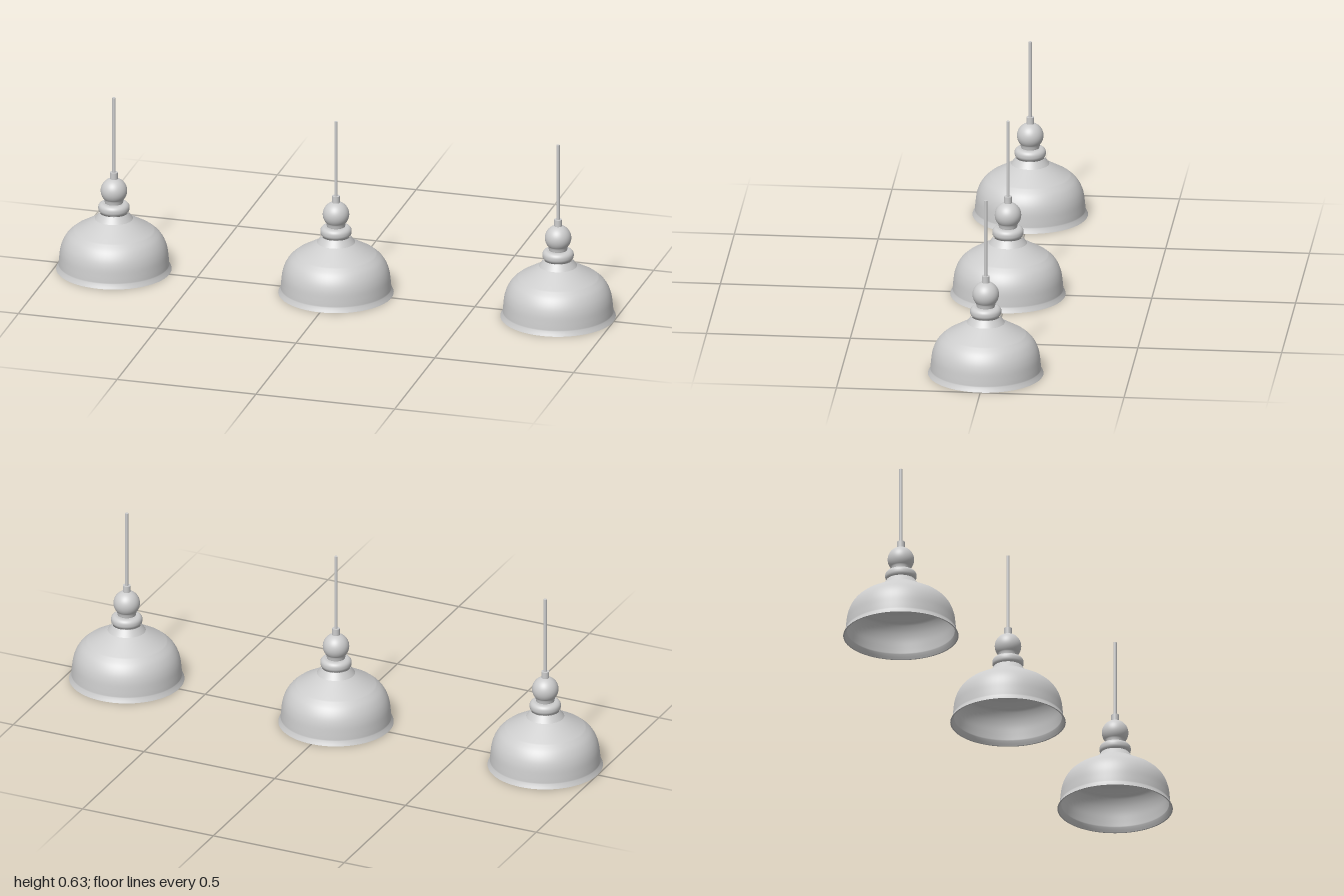
import * as THREE from 'three';

const grey = new THREE.MeshStandardMaterial({ color: 0xcccccc });
grey.name = 'light grey';

// Revolved part; a repeated profile point makes a sharp edge
function turned(name, profile, sides = 48) {
  const points = profile.map(([r, y]) => new THREE.Vector2(r, y));
  const mesh = new THREE.Mesh(new THREE.LatheGeometry(points, sides), grey);
  mesh.name = name;
  return mesh;
}

// Circular arc in the profile plane, angles in degrees from the horizontal
function arc(cx, cy, r, from, to, steps = 16) {
  return Array.from({ length: steps + 1 }, (_, i) => {
    const a = THREE.MathUtils.degToRad(from + (to - from) * i / steps);
    return [Math.max(0, cx + r * Math.cos(a)), cy + r * Math.sin(a)];
  });
}

// Solid cylinder profile with sharp rims
function rod(r, y0, y1) {
  return [[0, y0], [r, y0], [r, y0], [r, y1], [r, y1], [0, y1]];
}

// Outer side of the bell: flared lip, rounded dome, sloping shoulder, neck
const dome = new THREE.SplineCurve([
  [0.192, 0.016], [0.19, 0.04], [0.186, 0.072], [0.177, 0.1], [0.161, 0.125], [0.138, 0.145],
].map(([r, y]) => new THREE.Vector2(r, y))).getPoints(20).map(p => [p.x, p.y]);
const outer = [[0.2, 0], [0.197, 0.006], ...dome, [0.1, 0.167], [0.066, 0.187], [0.066, 0.187], [0.05, 0.21]];
const inner = outer.map(([r, y]) => [r - 0.005, Math.max(0, y - (y > 0.12 ? 0.004 : 0))]).reverse();

function createPendant() {
  const pendant = new THREE.Group();
  pendant.add(
    turned('shade', [...inner, [0.195, 0], [0.2, 0], ...outer], 64),
    // Rounded collar between shade and ball
    turned('collar', [[0, 0.209], ...arc(0.038, 0.225, 0.0165, -90, 0, 8),
      ...arc(0.038, 0.229, 0.0165, 0, 90, 8), [0, 0.2455]]),
    // Ball socket on a short waist
    turned('socketBall', [[0.031, 0.244], [0.033, 0.252], ...arc(0, 0.29, 0.046, -43, 90, 24)]),
    turned('cordGrip', rod(0.0135, 0.334, 0.358), 32),
    turned('cord', rod(0.006, 0.357, 0.635), 24),
    // Bulb hanging inside the shade
    turned('bulb', [...arc(0, 0.112, 0.025, -90, 45, 16), [0.013, 0.15], [0.013, 0.21]], 32),
  );
  return pendant;
}

export function createModel() {
  const model = new THREE.Group();
  model.name = 'pendantLamps';
  ['rightPendant', 'middlePendant', 'leftPendant'].forEach((name, i) => {
    const pendant = createPendant();
    pendant.name = name;
    pendant.position.x = (i - 1) * 0.8;
    model.add(pendant);
  });
  return model;
}
